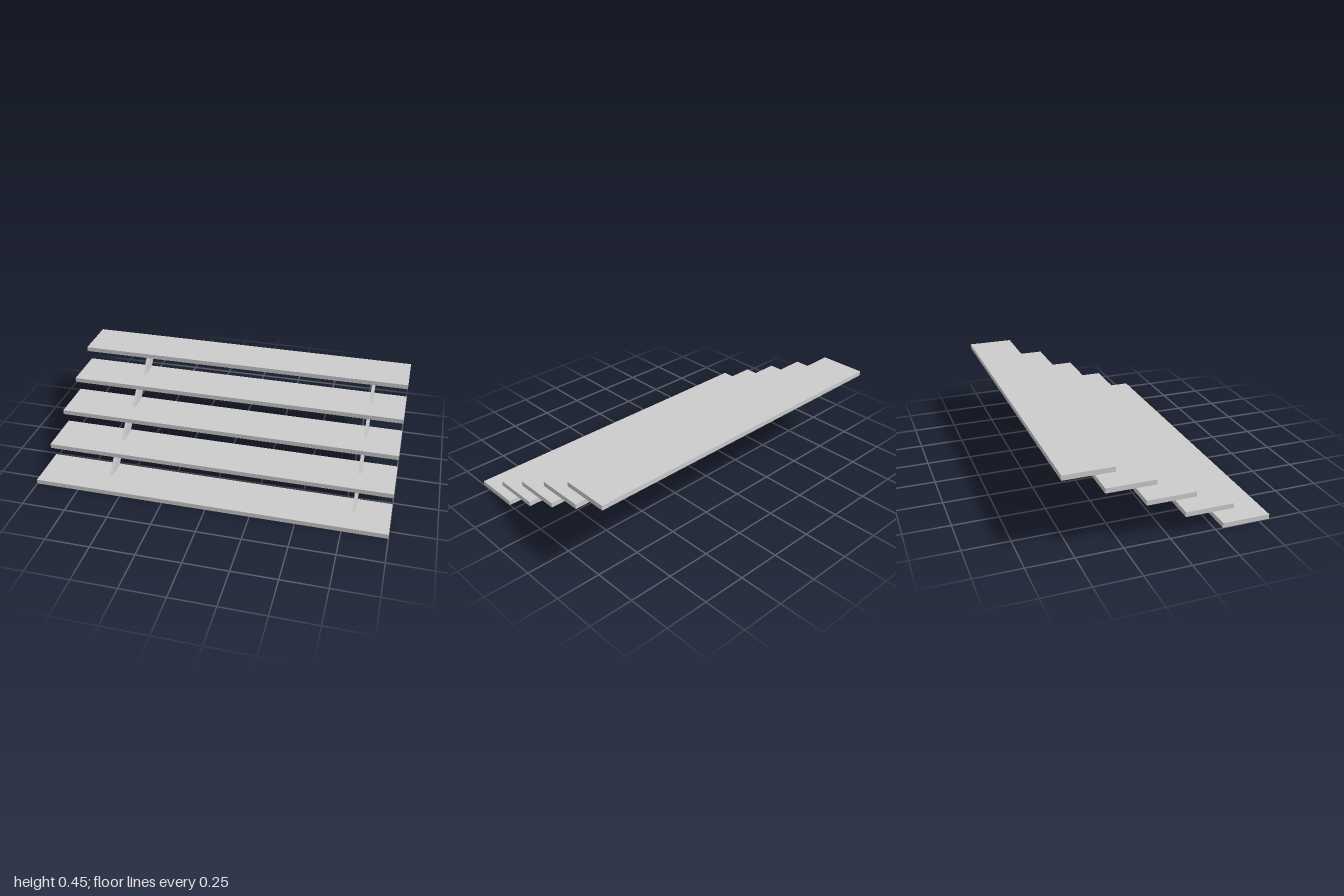
import * as THREE from 'three';

const STEPS = 5, RISE = 0.1067, RUN = 0.2133;
const DEPTH = 0.2667, THICK = 0.0267, SUPPORT_WIDTH = 0.018;

export function createModel() {
  const group = new THREE.Group();
  group.name = 'openStaircase';
  const material = new THREE.MeshStandardMaterial({ color: 0xcccccc, flatShading: true });

  // Slanted support: a parallelogram leaning back at 45 degrees (shape x is -z)
  const gap = RISE - THICK;
  const shape = new THREE.Shape([
    new THREE.Vector2(0, 0),
    new THREE.Vector2(0.111, 0),
    new THREE.Vector2(0.111 + gap, gap),
    new THREE.Vector2(gap, gap),
  ]);
  const supportGeometry = new THREE.ExtrudeGeometry(shape, { depth: SUPPORT_WIDTH, bevelEnabled: false });
  supportGeometry.translate(0, 0, -SUPPORT_WIDTH / 2);
  supportGeometry.rotateY(Math.PI / 2);

  const treadGeometry = new THREE.BoxGeometry(2, THICK, DEPTH);

  for (let i = 0; i < STEPS; i++) {
    // Plank tread
    const tread = new THREE.Mesh(treadGeometry, material);
    tread.name = `tread${i + 1}`;
    tread.position.set(0, i * RISE + THICK / 2, ((STEPS - 1) / 2 - i) * RUN);
    group.add(tread);

    // Two supports up to the next tread
    if (i === STEPS - 1) continue;
    [['right', -0.6], ['left', 0.8]].forEach(([side, x]) => {
      const support = new THREE.Mesh(supportGeometry, material);
      support.name = `${side}Support${i + 1}`;
      support.position.set(x, i * RISE + THICK, 0.417 - i * RUN);
      group.add(support);
    });
  }
  return group;
}
